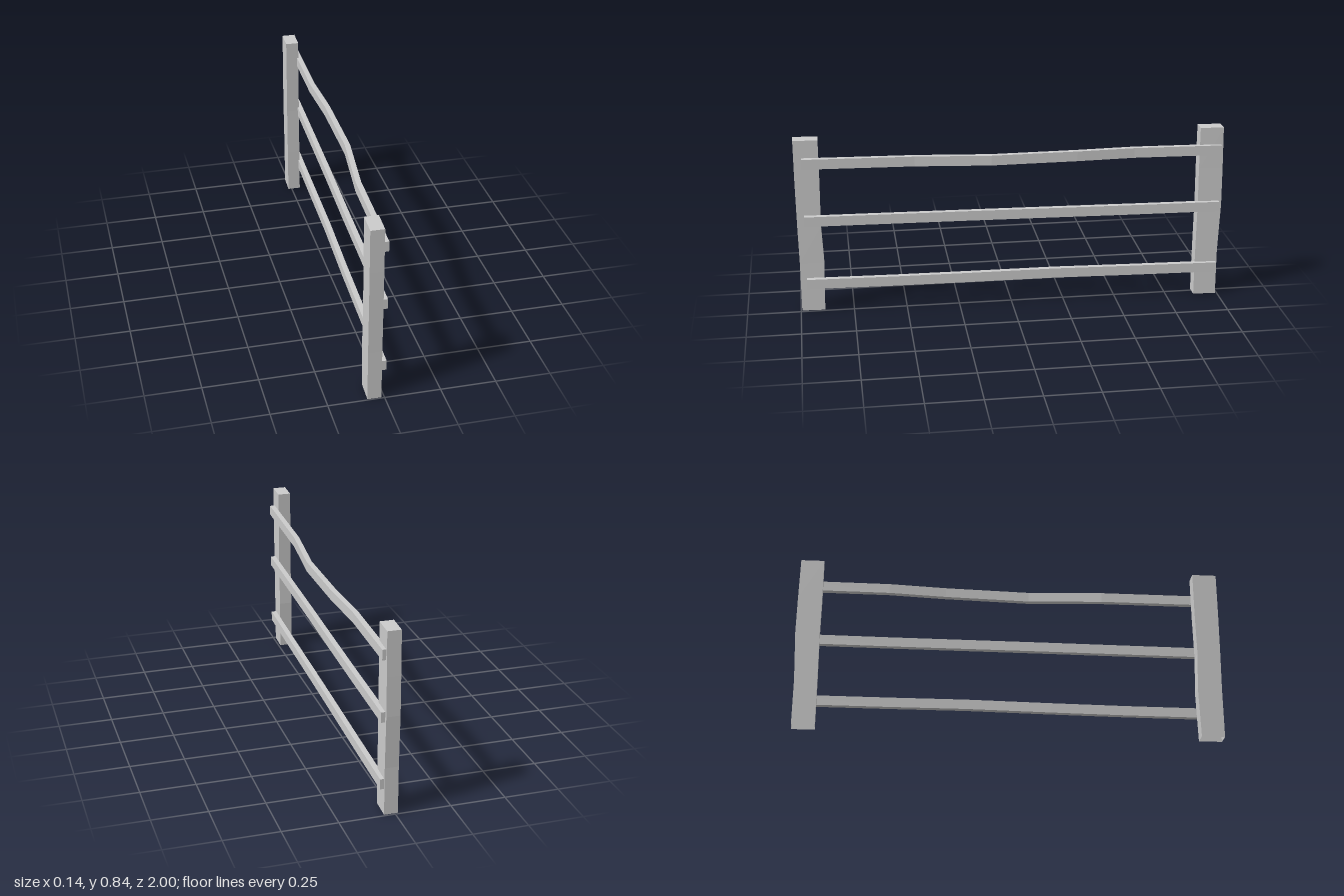
import * as THREE from 'three';

const material = new THREE.MeshStandardMaterial({ color: 0xcccccc, flatShading: true, side: THREE.DoubleSide });

// Skin a row of four-cornered rings (counter-clockwise seen from the far end)
function loft(name, rings, capStart) {
  const points = [];
  const quad = (a, b, c, d) => points.push(...a, ...b, ...c, ...a, ...c, ...d);
  for (let r = 0; r < rings.length - 1; r++) {
    for (let i = 0; i < 4; i++) {
      const j = (i + 1) % 4;
      quad(rings[r][i], rings[r][j], rings[r + 1][j], rings[r + 1][i]);
    }
  }
  quad(...rings[rings.length - 1]);
  if (capStart) quad(...[...rings[0]].reverse());
  const geometry = new THREE.BufferGeometry();
  geometry.setAttribute('position', new THREE.Float32BufferAttribute(points, 3));
  geometry.computeVertexNormals();
  const mesh = new THREE.Mesh(geometry, material);
  mesh.name = name;
  return mesh;
}

// Upright post, open underneath; levels are [y, front z, back z]
function post(name, x, levels) {
  const w = 0.031, skew = 0.002;
  return loft(name, levels.map(([y, zf, zb]) => [
    [x - w - skew, y, zf], [x + w - skew, y, zf],
    [x + w + skew, y, zb], [x - w + skew, y, zb],
  ]), false);
}

// Horizontal rail; stations are [z, centre x, centre y], from back to front
function rail(name, stations) {
  const w = 0.0125, h = 0.0235;
  return loft(name, stations.map(([z, x, y]) => [
    [x - w, y - h, z], [x + w, y - h, z], [x + w, y + h, z], [x - w, y + h, z],
  ]), true);
}

export function createModel() {
  const group = new THREE.Group();
  group.name = 'fence';

  group.add(
    post('frontPost', -0.042, [
      [0, 0.995, 0.887], [0.24, 0.995, 0.881], [0.42, 0.998, 0.889], [0.64, 1, 0.886], [0.84, 1, 0.886],
    ]),
    post('backPost', 0.015, [
      [0, -0.885, -0.992], [0.22, -0.885, -0.991], [0.46, -0.887, -1], [0.64, -0.885, -0.998], [0.84, -0.885, -0.994],
    ]),
  );

  // Crooked top rail, nearly straight middle rail, slightly wavy bottom rail
  group.add(
    rail('topRail', [
      [-0.985, 0.052, 0.734], [-0.57, 0.044, 0.736], [-0.3, 0.057, 0.736],
      [0.1, 0.056, 0.733], [0.45, 0.018, 0.732], [0.965, 0.003, 0.734],
    ]),
    rail('middleRail', [
      [-0.985, 0.053, 0.454], [-0.55, 0.043, 0.454], [-0.2, 0.034, 0.455],
      [0.2, 0.022, 0.455], [0.965, 0.003, 0.455],
    ]),
    rail('bottomRail', [
      [-0.985, 0.053, 0.144], [-0.55, 0.043, 0.146], [-0.2, 0.035, 0.149],
      [0.2, 0.022, 0.144], [0.55, 0.013, 0.142], [0.965, 0.003, 0.143],
    ]),
  );
  return group;
}
